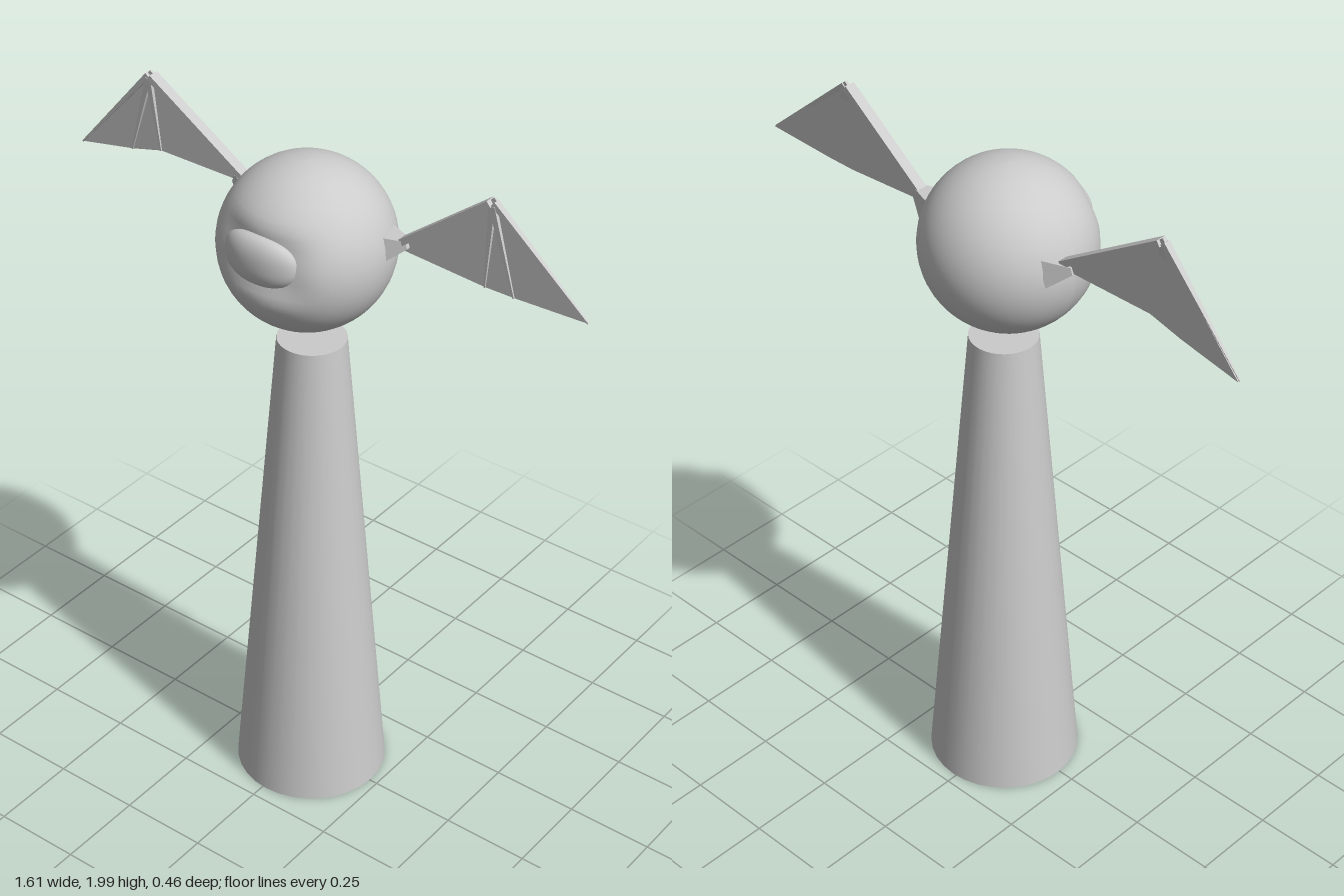
import * as THREE from 'three';

const smooth = new THREE.MeshStandardMaterial({ color: 0xcccccc });
const faceted = new THREE.MeshStandardMaterial({ color: 0xcccccc, flatShading: true, side: THREE.DoubleSide });
const WING_Z = -0.055;

function add(parent, name, geometry, material) {
  const mesh = new THREE.Mesh(geometry, material);
  mesh.name = name;
  parent.add(mesh);
  return mesh;
}

// Four-sided tapered bar between two points in the wing plane.
// Each end is [half width in plane, half depth in z].
function bar(parent, name, a, b, startHalf, endHalf, depthRatio = 1, z = WING_Z) {
  const from = new THREE.Vector3(a[0], a[1], z);
  const to = new THREE.Vector3(b[0], b[1], z);
  const dir = to.clone().sub(from);
  const geometry = new THREE.CylinderGeometry(endHalf * Math.SQRT2, startHalf * Math.SQRT2, dir.length(), 4);
  geometry.rotateY(Math.PI / 4).scale(1, 1, depthRatio);
  const mesh = add(parent, name, geometry, faceted);
  mesh.position.copy(from).add(to).multiplyScalar(0.5);
  mesh.quaternion.setFromUnitVectors(new THREE.Vector3(0, 1, 0), dir.normalize());
}

function createWing(name, { root, lowerRoot, peak, tip, inner, outer }) {
  const wing = new THREE.Group();
  wing.name = name;
  const side = Math.sign(peak[0]);

  // Thin membrane stretched between the bones
  const shape = new THREE.Shape([root, peak, tip, outer, inner, lowerRoot].map((p) => new THREE.Vector2(...p)));
  const skin = new THREE.ExtrudeGeometry(shape, { depth: 0.006, bevelEnabled: false });
  add(wing, 'wingMembrane', skin, faceted).position.z = WING_Z - 0.006;

  // Flared socket at the body, then the arm up to the peak
  bar(wing, 'wingSocket', [side * 0.205, 1.75], [side * 0.275, 1.775], 0.038, 0.01, 1.1);
  bar(wing, 'wingArm', root, [peak[0] - side * 0.006, peak[1] - 0.013], 0.009, 0.009, 1.7);

  // Finger bones fanning out from the peak
  const knuckle = [peak[0], peak[1] - 0.02];
  bar(wing, 'leadingFinger', [peak[0] + side * 0.002, peak[1] - 0.012], tip, 0.008, 0.002, 1.2);
  bar(wing, 'outerFinger', knuckle, outer, 0.009, 0.002, 1, WING_Z + 0.002);
  bar(wing, 'innerFinger', knuckle, inner, 0.009, 0.002, 1, WING_Z + 0.002);
  return wing;
}

export function createModel() {
  const model = new THREE.Group();
  model.name = 'wingedEyeOnTower';

  // Tapered tower
  const tower = add(model, 'tower', new THREE.CylinderGeometry(0.093, 0.213, 1.425, 32), smooth);
  tower.position.set(0.012, 0.7125, -0.005);

  // Round body with a shallow socket pressed in around the eye
  const ball = new THREE.SphereGeometry(0.233, 48, 32);
  const pos = ball.attributes.position;
  for (let i = 0; i < pos.count; i++) {
    const x = pos.getX(i), y = pos.getY(i), z = pos.getZ(i);
    if (z <= 0) continue;
    const falloff = Math.exp(-((x / 0.13) ** 4) - ((y - 0.035) / 0.08) ** 4);
    pos.setZ(i, z - 0.028 * falloff);
  }
  ball.computeVertexNormals();
  add(model, 'body', ball, smooth).position.y = 1.711;

  // Wide, slightly squared eye that bends back with the face
  const eye = new THREE.SphereGeometry(1, 32, 20);
  const e = eye.attributes.position;
  const square = (v) => Math.sign(v) * Math.abs(v) ** 0.85;
  for (let i = 0; i < e.count; i++) {
    const x = square(e.getX(i)) * 0.112, y = square(e.getY(i)) * 0.069;
    e.setXYZ(i, x, y, e.getZ(i) * 0.036 - x * x * 1.2);
  }
  eye.computeVertexNormals();
  add(model, 'eye', eye, smooth).position.set(-0.003, 1.748, 0.196);

  // Wings, each in its own pose
  model.add(
    createWing('leftWing', {
      root: [0.25, 1.772], lowerRoot: [0.245, 1.752], peak: [0.52, 1.992],
      tip: [0.803, 1.747], inner: [0.505, 1.737], outer: [0.59, 1.738],
    }),
    createWing('rightWing', {
      root: [-0.24, 1.782], lowerRoot: [-0.235, 1.768], peak: [-0.555, 1.992],
      tip: [-0.803, 1.703], inner: [-0.525, 1.767], outer: [-0.625, 1.74],
    }),
  );
  return model;
}
